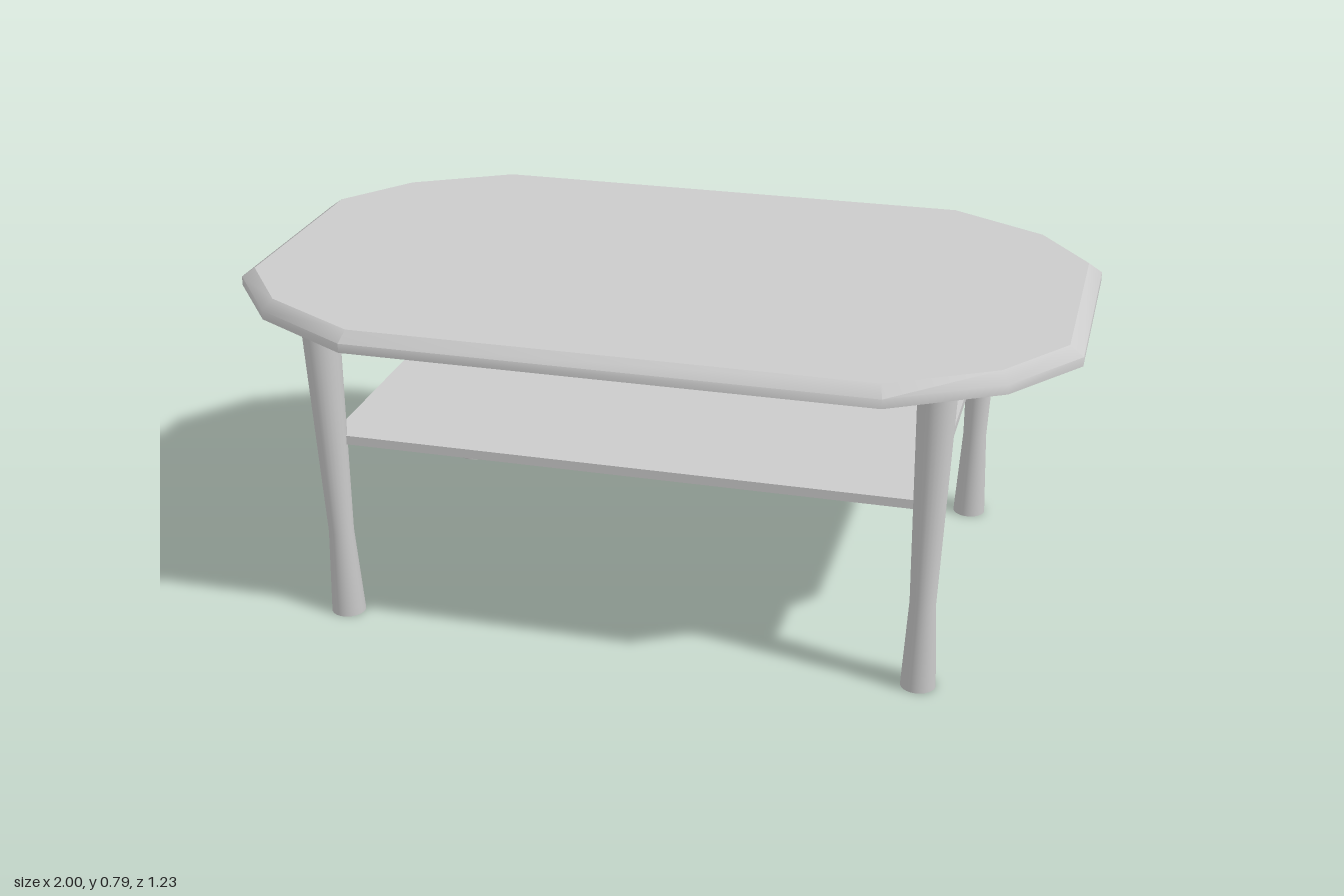
import * as THREE from 'three';
import { toCreasedNormals } from 'three/addons/utils/BufferGeometryUtils.js';

const material = new THREE.MeshStandardMaterial({ color: 0xcccccc });

// Mirror one quarter of an outline into a closed loop of [x, z] points
function fullOutline(quarter) {
  const back = [...quarter].reverse();
  return [
    ...quarter,
    ...back.map(([x, z]) => [-x, z]),
    ...quarter.map(([x, z]) => [-x, -z]),
    ...back.map(([x, z]) => [x, -z]),
  ];
}

// Flat horizontal face filling an outline, facing up or down
function cap(outline, y, up) {
  const shape = new THREE.Shape(outline.map(([x, z]) => new THREE.Vector2(x, up ? -z : z)));
  const geometry = new THREE.ShapeGeometry(shape);
  geometry.rotateX(up ? -Math.PI / 2 : Math.PI / 2);
  geometry.translate(0, y, 0);
  return geometry;
}

// Band of quads joining outlines stacked from bottom to top
function band(rings) {
  const n = rings[0].outline.length;
  const positions = [];
  const index = [];
  rings.forEach(({ outline, y }) => outline.forEach(([x, z]) => positions.push(x, y, z)));
  for (let r = 0; r < rings.length - 1; r++) {
    for (let i = 0; i < n; i++) {
      const a = r * n + i;
      const b = r * n + ((i + 1) % n);
      index.push(a, a + n, b, b, a + n, b + n);
    }
  }
  const geometry = new THREE.BufferGeometry();
  geometry.setAttribute('position', new THREE.Float32BufferAttribute(positions, 3));
  geometry.setIndex(index);
  geometry.computeVertexNormals();
  return toCreasedNormals(geometry, 1);
}

function addMesh(parent, name, geometry) {
  const mesh = new THREE.Mesh(geometry, material);
  mesh.name = name;
  parent.add(mesh);
  return mesh;
}

// Leg sections from top to foot: height, centre and radius
const legSections = [
  { y: 0.75, x: 0.71, z: 0.481, r: 0.044 },
  { y: 0.22, x: 0.701, z: 0.466, r: 0.03 },
  { y: 0, x: 0.699, z: 0.458, r: 0.041 },
];

function legGeometry(sideX, sideZ) {
  const geometry = new THREE.CylinderGeometry(1, 1, 2, 24, 2);
  const p = geometry.attributes.position;
  for (let i = 0; i < p.count; i++) {
    const s = legSections[Math.round(1 - p.getY(i))];
    p.setXYZ(i, sideX * s.x + p.getX(i) * s.r, s.y, sideZ * s.z + p.getZ(i) * s.r);
  }
  return geometry;
}

export function createModel() {
  const table = new THREE.Group();
  table.name = 'coffeeTable';

  // Tabletop with clipped corners and a bevelled upper edge
  const outer = fullOutline([[1, 0.275], [0.858, 0.47], [0.61, 0.614]]);
  const inner = fullOutline([[0.968, 0.268], [0.84, 0.448], [0.603, 0.584]]);
  const top = new THREE.Group();
  top.name = 'tabletop';
  addMesh(top, 'tabletopRim', band([
    { outline: outer, y: 0.748 },
    { outline: outer, y: 0.77 },
    { outline: inner, y: 0.793 },
  ]));
  addMesh(top, 'tabletopSurface', cap(inner, 0.793, true));
  addMesh(top, 'tabletopUnderside', cap(outer, 0.748, false));
  table.add(top);

  // Lower shelf running into the four legs
  addMesh(table, 'shelf', new THREE.BoxGeometry(1.41, 0.022, 0.946)).position.y = 0.464;

  // Four legs, narrowest above the foot
  for (const [sideX, xName] of [[1, 'Left'], [-1, 'Right']]) {
    for (const [sideZ, zName] of [[1, 'front'], [-1, 'back']]) {
      addMesh(table, `${zName}${xName}Leg`, legGeometry(sideX, sideZ));
    }
  }
  return table;
}
